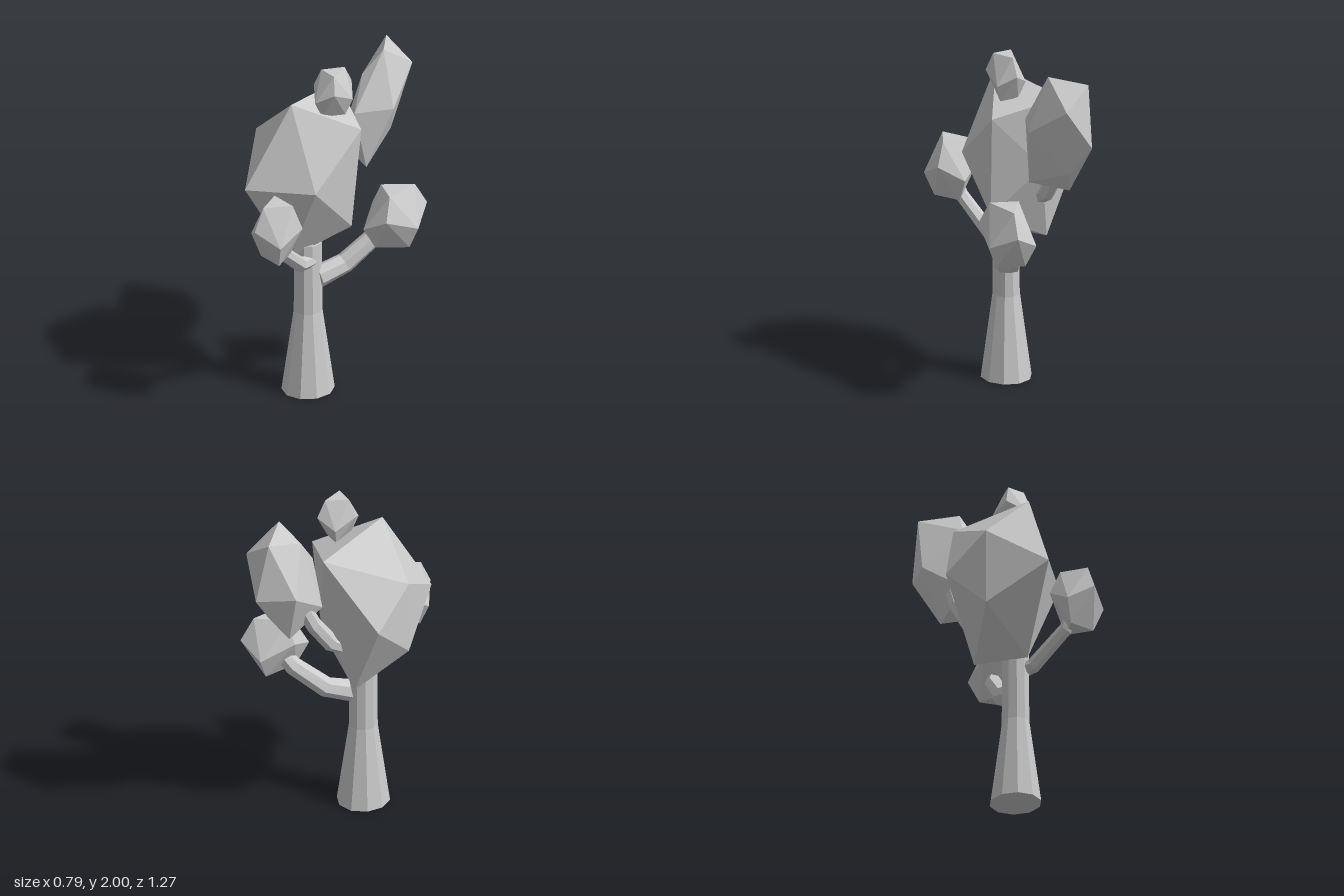
import * as THREE from 'three';
import { mergeGeometries } from 'three/addons/utils/BufferGeometryUtils.js';
import { ConvexGeometry } from 'three/addons/geometries/ConvexGeometry.js';

const V = (x, y, z) => new THREE.Vector3(x, y, z);
const material = new THREE.MeshStandardMaterial({ color: 0xcccccc, flatShading: true });

function addPart(group, name, geometry) {
  const mesh = new THREE.Mesh(geometry, material);
  mesh.name = name;
  group.add(mesh);
  return mesh;
}

// Ring of points around a centre, square to a direction
function ring(center, direction, radius, sides = 7) {
  const turn = new THREE.Quaternion().setFromUnitVectors(V(0, 1, 0), direction);
  return Array.from({ length: sides }, (_, i) => {
    const a = (i / sides) * Math.PI * 2;
    return V(Math.cos(a) * radius, 0, Math.sin(a) * radius).applyQuaternion(turn).add(center);
  });
}

// Bent, tapering limb: faceted segments sharing mitred rings
function limb(nodes, startRadius, endRadius) {
  const last = nodes.length - 1;
  const rings = nodes.map((p, i) => {
    const before = nodes[Math.max(i - 1, 0)], after = nodes[Math.min(i + 1, last)];
    const direction = after.clone().sub(before).normalize();
    return ring(p, direction, THREE.MathUtils.lerp(startRadius, endRadius, i / last));
  });
  return mergeGeometries(rings.slice(1).map((r, i) => new ConvexGeometry([...rings[i], ...r])));
}

// Twenty-faced clump resting on a face, fitted into a box
function clump(min, max, yaw) {
  const points = [];
  for (let k = 0; k < 3; k++) {
    const a = yaw + (k * Math.PI * 2) / 3;
    for (const [r, y] of [[0.607, 0.795], [0.982, 0.188]]) {
      const p = V(Math.sin(a) * r, y, Math.cos(a) * r);
      points.push(p, p.clone().negate());
    }
  }
  const box = new THREE.Box3().setFromPoints(points);
  const size = box.getSize(V(0, 0, 0));
  const scale = max.clone().sub(min).divide(size);
  points.forEach((p) => p.sub(box.min).multiply(scale).add(min));
  return new ConvexGeometry(points);
}

export function createModel() {
  const tree = new THREE.Group();
  tree.name = 'tree';

  // Trunk: flared foot, straight upper part, bevelled top
  const profile = [[0, 0], [0.154, 0], [0.083, 0.5], [0.08, 0.93], [0.066, 0.96], [0, 0.96]];
  const trunk = addPart(tree, 'trunk', new THREE.LatheGeometry(
    profile.map(([r, y]) => new THREE.Vector2(r, y)), 10));
  trunk.scale.x = 0.94;
  trunk.position.set(0.01, 0, 0.122);

  // Branches
  addPart(tree, 'frontBranch', limb(
    [V(0.04, 0.83, 0.13), V(0.06, 0.835, 0.22), V(0.13, 1.01, 0.42), V(0.15, 1.1, 0.46)], 0.048, 0.036));
  addPart(tree, 'backLeftBranch', limb(
    [V(0.05, 0.71, 0.08), V(0.09, 0.76, -0.08), V(0.16, 0.91, -0.25), V(0.22, 1.0, -0.31)], 0.066, 0.048));
  addPart(tree, 'backBranch', limb(
    [V(-0.1, 1.1, 0), V(-0.1, 1.18, -0.15), V(-0.1, 1.33, -0.26), V(-0.08, 1.5, -0.34)], 0.055, 0.045));

  // Main crown: front tip, five-point front ring, five-point back ring, back tip
  addPart(tree, 'mainCrown', new ConvexGeometry([
    V(-0.07, 1.35, 0.515),
    V(0.008, 1.835, 0.243), V(0.228, 1.35, 0.243), V(0, 0.862, 0.243),
    V(-0.305, 1.117, 0.243), V(-0.305, 1.56, 0.243),
    V(-0.157, 1.765, -0.225), V(0.222, 1.655, -0.093), V(0.2, 1.05, -0.04),
    V(-0.167, 0.862, -0.03), V(-0.398, 1.35, 0),
    V(-0.05, 1.35, -0.19),
  ]));

  // Tall back crown: six corners and their opposites about the centre
  const middle = V(-0.033, 1.63, -0.408);
  const corners = [
    V(0.068, 0.355, 0.003), V(-0.104, 0.327, -0.157), V(0.065, 0.205, -0.209),
    V(-0.087, -0.03, -0.229), V(0.183, 0.03, 0.023), V(0.006, 0.21, 0.108),
  ];
  addPart(tree, 'backCrown', new ConvexGeometry(
    corners.flatMap((c) => [middle.clone().add(c), middle.clone().sub(c)])));

  // Small leaf clumps
  addPart(tree, 'frontClump', clump(V(0.035, 1.0, 0.315), V(0.298, 1.35, 0.635), 0));
  addPart(tree, 'backLeftClump', clump(V(0.102, 0.87, -0.515), V(0.393, 1.217, -0.12), Math.PI - 0.28));
  addPart(tree, 'topClump', clump(V(-0.01, 1.735, -0.135), V(0.175, 2.0, 0.13), Math.PI));

  return tree;
}
